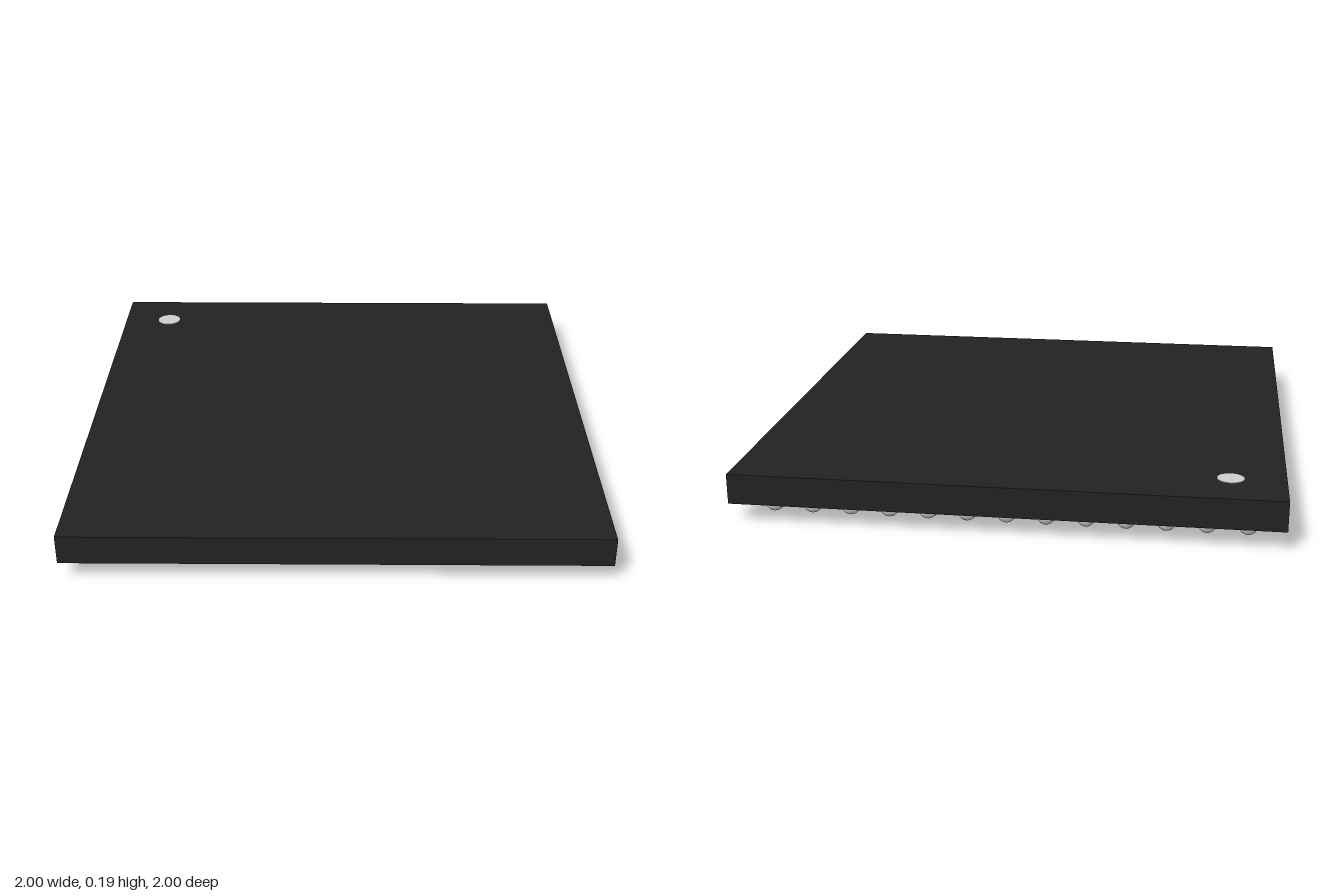
import * as THREE from 'three';

export function createModel() {
  const group = new THREE.Group();
  const bodyMat = new THREE.MeshStandardMaterial({ color: 0x222222 });
  bodyMat.name = 'black casing';
  const metalMat = new THREE.MeshStandardMaterial({ color: 0xcccccc });
  metalMat.name = 'light grey solder';

  const add = (name, geometry, material, x, y, z) => {
    const mesh = new THREE.Mesh(geometry, material);
    mesh.name = name;
    mesh.position.set(x, y, z);
    group.add(mesh);
  };

  // flat square package
  const bottom = 0.07, top = 0.183;
  add('casing', new THREE.BoxGeometry(2, top - bottom, 2), bodyMat, 0, (top + bottom) / 2, 0);

  // orientation mark in the back corner
  add('cornerMark', new THREE.CylinderGeometry(0.05, 0.05, 0.004, 32), metalMat, -0.8, top, -0.8);

  // solder balls: three outer rings and a 5 x 5 centre block on a 13 x 13 grid
  const radius = 0.035, pitch = 0.1447;
  const ball = new THREE.SphereGeometry(radius, 20, 14);
  for (let i = -6; i <= 6; i++) {
    for (let j = -6; j <= 6; j++) {
      const ring = Math.max(Math.abs(i), Math.abs(j));
      if (ring === 3) continue;
      add('solderBall', ball, metalMat, i * pitch, radius, j * pitch);
    }
  }
  return group;
}
